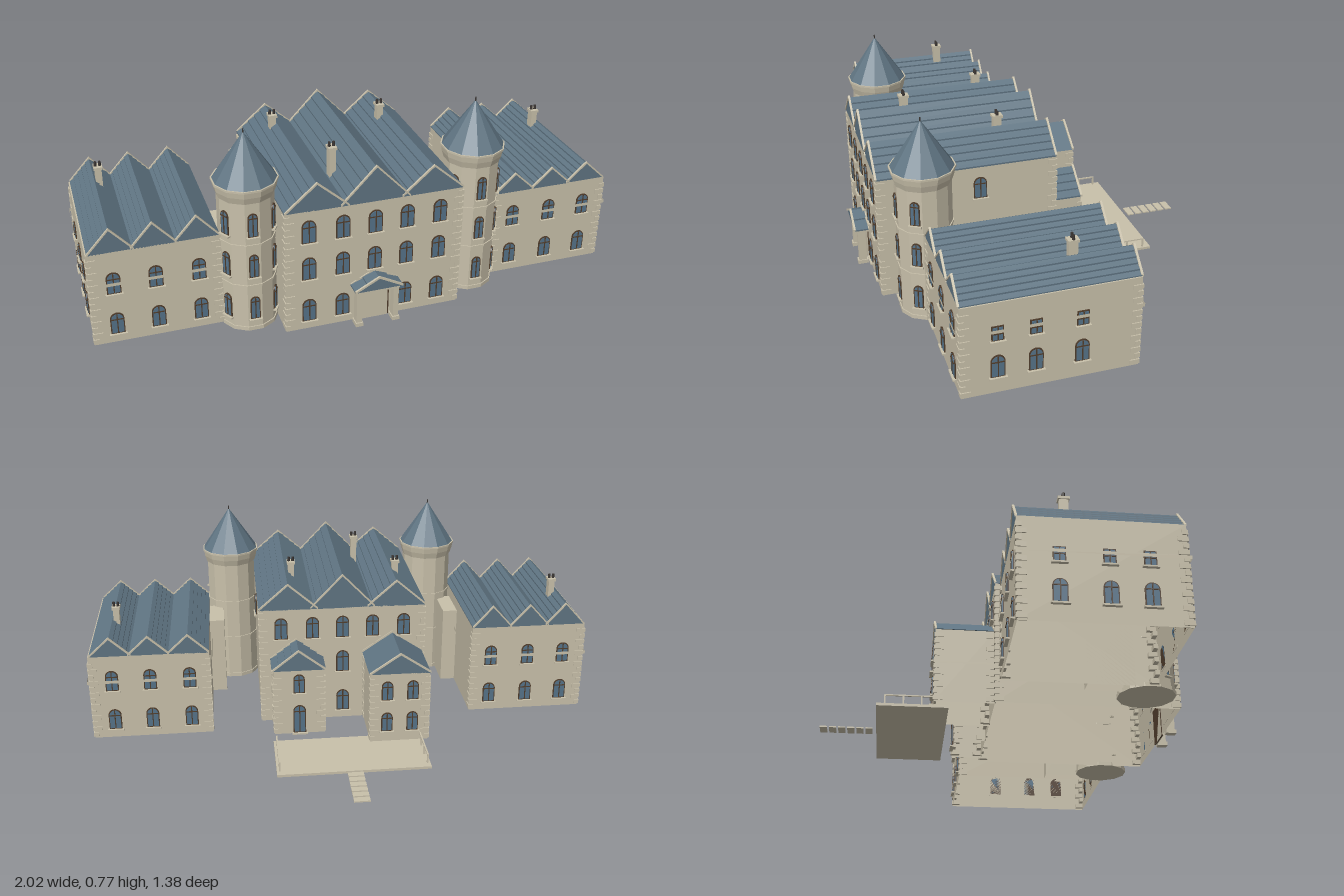
import * as THREE from 'three';

const mat = (name, color, side = THREE.FrontSide) => {
  const m = new THREE.MeshStandardMaterial({ color, side, flatShading: true });
  m.name = name;
  return m;
};

export function createModel() {
  const root = new THREE.Group();
  const stone = mat('stone', 0xc8c0aa, THREE.DoubleSide);
  const slate = mat('slate', 0x5f7482);
  const glass = mat('glass', 0x567389);
  const wood = mat('brown wood', 0x513e2d);
  const dark = mat('chimney pot', 0x3a3532);

  const add = (parent, name, geo, material, x = 0, y = 0, z = 0) => {
    const m = new THREE.Mesh(geo, material);
    m.name = name;
    m.position.set(x, y, z);
    parent.add(m);
    return m;
  };
  // Box given by its extents
  const block = (parent, name, x0, x1, y0, y1, z0, z1, material = stone) =>
    add(parent, name, new THREE.BoxGeometry(x1 - x0, y1 - y0, z1 - z0), material,
      (x0 + x1) / 2, (y0 + y1) / 2, (z0 + z1) / 2);
  // Box without its floor, and without its lid unless wanted
  const shell = (parent, name, x0, x1, y0, y1, z0, z1, lid = true) => {
    const m = block(parent, name, x0, x1, y0, y1, z0, z1);
    const idx = Array.from(m.geometry.index.array);
    m.geometry.setIndex(idx.filter((_, i) => !((i >= 18 && i < 24) || (!lid && i >= 12 && i < 18))));
    m.geometry.clearGroups();
  };
  const extrude = (pts, depth) => new THREE.ExtrudeGeometry(
    new THREE.Shape(pts.map(p => new THREE.Vector2(p[0], p[1]))), { depth, bevelEnabled: false });

  // Gabled roof with lapped slate courses and stone verges, ridge along z
  const gable = (parent, x, z0, z1, hw, y0, peak, courses = 5) => {
    const g = new THREE.Group();
    g.name = 'gabledRoof';
    parent.add(g);
    const step = courses > 1 ? 0.006 : 0, h = peak - y0 - 0.008, right = [[hw, y0]];
    for (let i = 0; i < courses; i++) {
      const a = i / courses, b = (i + 1) / courses;
      if (step) right.push([hw * (1 - a), y0 + h * a + step]);
      right.push([hw * (1 - b), y0 + h * b]);
    }
    const left = right.slice(0, -1).reverse().map(p => [-p[0], p[1]]);
    add(g, 'slates', extrude([...right, ...left], z1 - z0), slate, x, 0, z0);
    const t = 0.008;
    const verge = extrude([[hw, y0], [hw, y0 + t], [0, y0 + h + t], [-hw, y0 + t], [-hw, y0], [0, y0 + h]], 0.008);
    for (const z of [z0 - 0.004, z1 - 0.004]) add(g, 'verge', verge, stone, x, 0, z);
  };

  // Windows: brown frame, glass plate, glazing bars and sill
  const pane = (w, h, arched) => {
    const s = new THREE.Shape(), r = w / 2;
    s.moveTo(-r, -h / 2);
    s.lineTo(r, -h / 2);
    if (arched) s.absarc(0, h / 2 - r, r, 0, Math.PI, false);
    else { s.lineTo(r, h / 2); s.lineTo(-r, h / 2); }
    s.closePath();
    return s;
  };
  const plate = (w, h, arched, depth) =>
    new THREE.ExtrudeGeometry(pane(w, h, arched), { depth, bevelEnabled: false, curveSegments: 8 });
  const cache = {};
  const win = (parent, x, y, z, turn = 0, w = 0.05, h = 0.085, arched = true) => {
    const k = [w, h, arched].join();
    cache[k] ??= {
      frame: plate(w, h, arched, 0.004), glass: plate(w - 0.008, h - 0.008, arched, 0.006),
      post: new THREE.BoxGeometry(0.004, h - 0.006, 0.008), bar: new THREE.BoxGeometry(w - 0.006, 0.004, 0.008),
      sill: new THREE.BoxGeometry(w + 0.012, 0.006, 0.014),
    };
    const c = cache[k], g = new THREE.Group();
    g.name = 'window';
    add(g, 'frame', c.frame, wood);
    add(g, 'glass', c.glass, glass);
    add(g, 'mullion', c.post, wood, 0, 0, 0.004);
    add(g, 'transom', c.bar, wood, 0, arched ? h / 2 - w / 2 : 0, 0.004);
    add(g, 'sill', c.sill, stone, 0, -h / 2 - 0.003, 0.006);
    g.position.set(x, y, z);
    g.rotation.y = turn;
    parent.add(g);
  };

  // Alternating corner stones
  const quoins = (parent, x0, x1, z0, z1, top) => {
    const long = new THREE.BoxGeometry(0.036, 0.017, 0.02), short = new THREE.BoxGeometry(0.02, 0.017, 0.036);
    for (const [x, sx] of [[x0, -1], [x1, 1]]) for (const [z, sz] of [[z0, -1], [z1, 1]])
      for (let y = 0.03, i = 0; y < top - 0.01; y += 0.025, i++)
        add(parent, 'quoin', i % 2 ? long : short, stone,
          x - sx * ((i % 2 ? 0.018 : 0.01) - 0.004), y, z - sz * ((i % 2 ? 0.01 : 0.018) - 0.004));
  };
  // Projecting string course round a block
  const course = (parent, x0, x1, z0, z1, y, out, h) =>
    shell(parent, 'stringCourse', x0 - out, x1 + out, y - h / 2, y + h / 2, z0 - out, z1 + out, false);

  const chimney = (parent, x, z, y0, top) => {
    const g = new THREE.Group();
    g.name = 'chimney';
    parent.add(g);
    block(g, 'stack', x - 0.012, x + 0.012, y0, top - 0.02, z - 0.016, z + 0.016);
    block(g, 'cap', x - 0.016, x + 0.016, top - 0.025, top - 0.015, z - 0.02, z + 0.02);
    for (const d of [-0.008, 0.008])
      add(g, 'pot', new THREE.CylinderGeometry(0.005, 0.006, 0.02, 8), dark, x + d, top - 0.008, z);
  };

  const house = (name, x0, x1, z0, z1, top) => {
    const g = new THREE.Group();
    g.name = name;
    root.add(g);
    shell(g, 'walls', x0, x1, 0.015, top, z0, z1);
    quoins(g, x0, x1, z0, z1, top);
    return g;
  };

  // Main block
  const main = house('mainBlock', -0.33, 0.33, -0.05, 0.63, 0.5);
  for (const y of [0.19, 0.345]) course(main, -0.33, 0.33, -0.05, 0.63, y, 0.004, 0.006);
  for (const x of [-0.215, 0.215]) gable(main, x, -0.05, 0.63, 0.117, 0.498, 0.608);
  gable(main, 0, -0.05, 0.63, 0.128, 0.498, 0.64);
  for (const x of [-0.245, -0.12, 0, 0.12, 0.245]) [0.095, 0.27, 0.42].forEach((y, row) => {
    if (x || row) win(main, x, y, 0.63, 0, 0.052, 0.09);
    if (row === 2 || x === 0) win(main, x, y, -0.05, Math.PI, 0.052, 0.09);
  });
  for (const s of [-1, 1]) win(main, s * 0.33, 0.415, 0.245, s * Math.PI / 2);
  chimney(main, -0.23, 0.11, 0.55, 0.65);
  chimney(main, 0.19, 0.14, 0.55, 0.65);
  chimney(main, -0.1, 0.435, 0.5, 0.65);

  // Side wings
  for (const [s, z0, top, peak, name] of [[1, -0.12, 0.365, 0.445, 'leftWing'], [-1, -0.05, 0.385, 0.48, 'rightWing']]) {
    const x0 = s > 0 ? 0.53 : -0.995, x1 = s > 0 ? 0.995 : -0.53;
    const wing = house(name, x0, x1, z0, 0.5, top);
    course(wing, x0, x1, z0, 0.5, 0.26, 0.009, 0.012);
    for (const x of [0.61, 0.763, 0.91]) {
      gable(wing, s * x, z0, 0.5, 0.08, top - 0.002, peak);
      for (const y of [0.095, 0.262]) {
        win(wing, s * x, y, 0.5);
        win(wing, s * x, y, z0, Math.PI);
      }
    }
    for (const z of [0.375, 0.245, 0.085]) {
      win(wing, s * 0.995, 0.122, z, s * Math.PI / 2);
      win(wing, s * 0.995, 0.25, z, s * Math.PI / 2, 0.042, 0.055, false);
    }
    chimney(wing, s * 0.893, s > 0 ? 0.09 : 0.12, top, peak + 0.06);
    // Link between tower and wing
    shell(wing, 'link', s > 0 ? 0.47 : -0.53, s > 0 ? 0.53 : -0.47, 0.015, 0.34, 0.25, 0.42);
  }

  // Twelve-sided corner towers
  for (const s of [-1, 1]) {
    const t = new THREE.Group();
    t.name = 'tower';
    t.position.set(s * 0.43, 0, 0.48);
    root.add(t);
    const ring = (name, r1, r0, y0, y1, m = stone) =>
      add(t, name, new THREE.CylinderGeometry(r1, r0, y1 - y0, 12), m, 0, (y0 + y1) / 2).rotation.y = Math.PI / 12;
    ring('wall', 0.102, 0.102, 0.015, 0.58);
    ring('plinth', 0.106, 0.106, 0.015, 0.03);
    for (const y of [0.2, 0.365]) ring('band', 0.106, 0.106, y, y + 0.007);
    ring('corbel', 0.112, 0.104, 0.535, 0.56);
    ring('cornice', 0.116, 0.112, 0.56, 0.583);
    ring('eaves', 0.119, 0.119, 0.583, 0.59);
    ring('spire', 0.001, 0.114, 0.59, 0.76, slate);
    ring('finial', 0.002, 0.003, 0.75, 0.772, dark);
    for (const a of [-1, 0, 1]) for (const y of [0.11, 0.285, 0.45]) {
      const turn = a * Math.PI / 3;
      win(t, 0.0985 * Math.sin(turn), y, 0.0985 * Math.cos(turn), turn, 0.036, 0.092);
    }
  }

  // Rear extensions
  const rearA = house('rearExtensionLarge', -0.315, -0.085, -0.27, -0.05, 0.305);
  gable(rearA, -0.2, -0.27, -0.05, 0.12, 0.303, 0.392, 1);
  for (const x of [-0.25, -0.15]) for (const y of [0.1, 0.235]) win(rearA, x, y, -0.27, Math.PI, 0.045, 0.08);
  course(rearA, -0.315, -0.085, -0.27, -0.05, 0.17, 0.004, 0.006);
  const rearB = house('rearExtensionSmall', 0.085, 0.285, -0.17, -0.05, 0.29);
  gable(rearB, 0.185, -0.17, -0.05, 0.106, 0.288, 0.378, 4);
  win(rearB, 0.185, 0.235, -0.17, Math.PI, 0.045, 0.08);
  win(rearB, 0.185, 0.08, -0.17, Math.PI, 0.05, 0.12);
  course(rearB, 0.085, 0.285, -0.17, -0.05, 0.17, 0.004, 0.006);

  // Entrance porch
  const porch = new THREE.Group();
  porch.name = 'porch';
  root.add(porch);
  block(porch, 'door', -0.052, 0.052, 0.015, 0.15, 0.628, 0.636);
  block(porch, 'doorFrame', -0.058, 0.058, 0.015, 0.156, 0.628, 0.633, wood);
  for (const s of [-1, 1]) {
    block(porch, 'column', s * 0.07 - 0.01, s * 0.07 + 0.01, 0.015, 0.155, 0.645, 0.675);
    block(porch, 'columnBase', s * 0.07 - 0.014, s * 0.07 + 0.014, 0.015, 0.03, 0.64, 0.68);
  }
  block(porch, 'lintel', -0.082, 0.082, 0.155, 0.168, 0.63, 0.68);
  gable(porch, 0, 0.63, 0.686, 0.09, 0.166, 0.222, 2);

  // Terrace with side railings and stepping stones
  const terrace = new THREE.Group();
  terrace.name = 'terrace';
  root.add(terrace);
  block(terrace, 'paving', -0.293, 0.293, 0, 0.01, -0.475, -0.215);
  for (const s of [-1, 1]) {
    const x = s * 0.282;
    block(terrace, 'handrail', x - 0.003, x + 0.003, 0.043, 0.048, -0.447, -0.243);
    for (const z of [-0.445, -0.378, -0.312, -0.245])
      block(terrace, 'railPost', x - 0.003, x + 0.003, 0.01, 0.045, z - 0.003, z + 0.003);
  }
  for (let i = 0; i < 6; i++) {
    const z = -0.503 - i * 0.0345;
    block(terrace, 'steppingStone', -0.03, 0.03, 0.008, 0.013, z - 0.0135, z + 0.0135);
  }
  return root;
}
